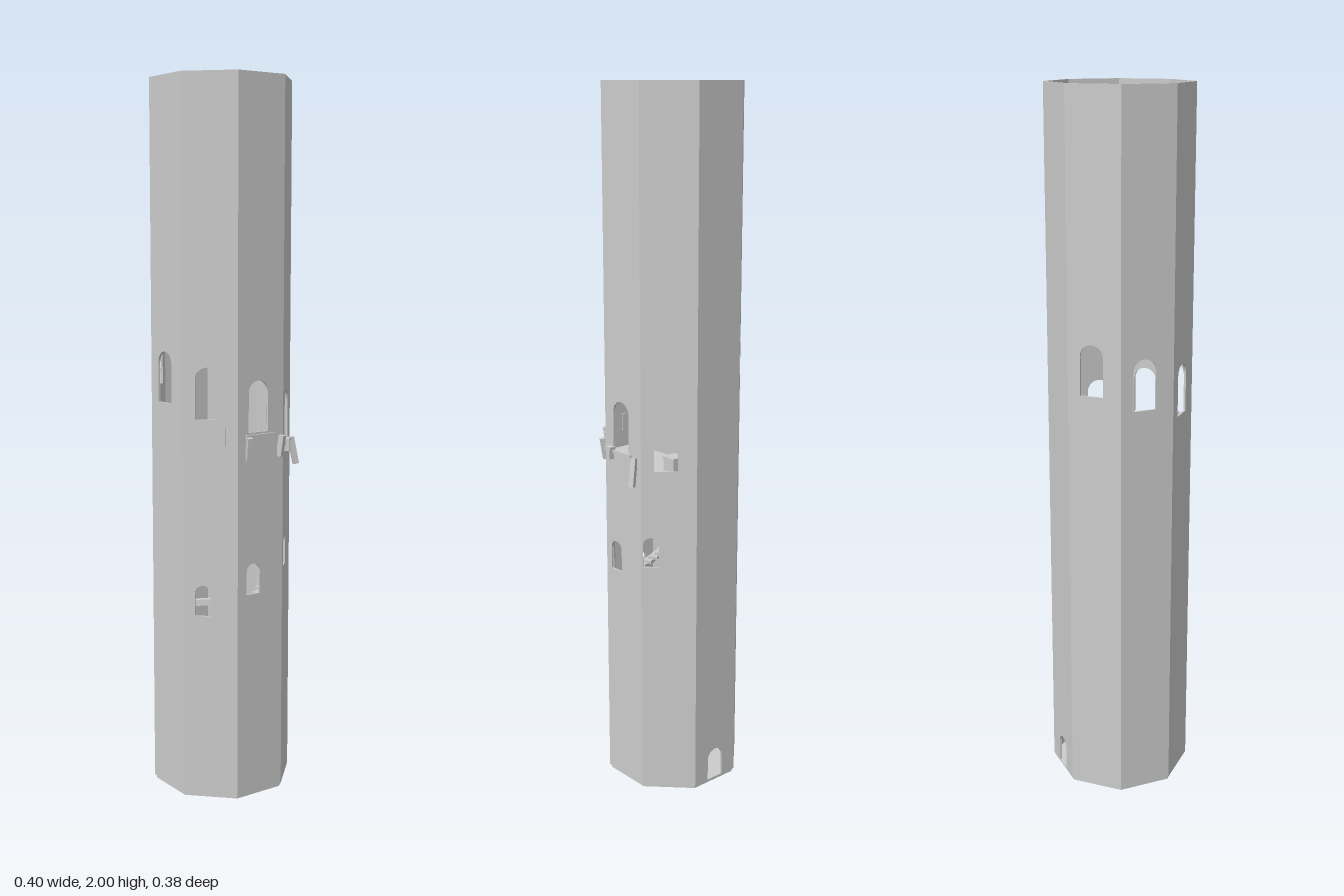
import * as THREE from 'three';

const mat = new THREE.MeshStandardMaterial({ color: 0xcccccc, flatShading: true });
const CX = -0.012, CZ = -0.003, R = 0.186, T = 0.006;
const HALF = R * Math.tan(Math.PI / 8);
const rad = THREE.MathUtils.degToRad;

function add(parent, name, geo, x = 0, y = 0, z = 0, rx = 0, ry = 0, rz = 0) {
  const m = new THREE.Mesh(geo, mat);
  m.name = name;
  m.position.set(x, y, z);
  m.rotation.set(rx, ry, rz, 'YXZ');
  parent.add(m);
  return m;
}
const box = (w, h, d) => new THREE.BoxGeometry(w, h, d);

// Round-headed opening: centre x, sill y, width, total height
function arch(x, y, w, h) {
  const p = new THREE.Path(), r = w / 2;
  p.moveTo(x - r, y);
  p.lineTo(x + r, y);
  p.lineTo(x + r, y + h - r);
  p.absarc(x, y + h - r, r, 0, Math.PI, false);
  p.lineTo(x - r, y);
  return p;
}

// Octagon prism with flats facing the axes
function octagon(name, parent, r, y0, h) {
  const g = new THREE.CylinderGeometry(r / Math.cos(Math.PI / 8), r / Math.cos(Math.PI / 8), h, 8);
  add(parent, name, g, 0, y0 + h / 2, 0, 0, Math.PI / 8);
}

export function createModel() {
  const root = new THREE.Group();
  root.name = 'tower';
  const tower = new THREE.Group();
  tower.name = 'shell';
  tower.position.set(CX, 0, CZ);
  root.add(tower);

  // Wall panels, upper windows climbing from face to face
  const lower = [[-0.05, 0.69], [-0.033, 0.65], [-0.024, 0.59], [-0.021, 0.53]];
  for (let i = 0; i < 8; i++) {
    const s = new THREE.Shape();
    s.moveTo(-HALF, 0.01);
    s.lineTo(HALF, 0.01);
    s.lineTo(HALF, 2);
    s.lineTo(-HALF, 2);
    s.closePath();
    if (i < 7) s.holes.push(arch(-0.008, 0.97 + 0.037 * i, 0.066, 0.142));
    else s.holes.push(arch(0, 0.012, 0.055, 0.092));
    if (i < 4) s.holes.push(arch(lower[i][0], lower[i][1], 0.045, 0.087));
    const g = new THREE.ExtrudeGeometry(s, { depth: T, bevelEnabled: false, curveSegments: 6 });
    g.translate(0, 0, R - T);
    add(tower, 'wallPanel', g, 0, 0, 0, 0, rad(135 - 45 * i));
  }
  octagon('base', tower, 0.181, 0, 0.012);

  // Half floor that survives on the left side
  const a = R - T, f = new THREE.Shape();
  f.moveTo(0, -a);
  f.lineTo(HALF, -a);
  f.lineTo(a, -HALF);
  f.lineTo(a, HALF);
  f.lineTo(HALF, a);
  f.lineTo(0, a);
  f.closePath();
  const floor = new THREE.ExtrudeGeometry(f, { depth: 0.015, bevelEnabled: false });
  add(tower, 'halfFloor', floor, 0, 0.96, 0, Math.PI / 2);

  // Winding stair below the floor, from the front round to the back
  const steps = 34;
  for (let i = 0; i < steps; i++) {
    const t = i / (steps - 1), ang = rad(10 + 200 * t);
    add(tower, 'stairTread', box(0.026, 0.008, 0.05),
      Math.sin(ang) * 0.148, 0.46 + 0.46 * t, Math.cos(ang) * 0.148, 0, ang);
  }

  // Broken balcony: thin ledges and hanging brackets
  add(root, 'ledge', box(0.006, 0.01, 0.11), 0.176, 1.002, 0.015);
  add(root, 'ledge', box(0.1, 0.01, 0.006), 0.121, 1.034, 0.134, 0, rad(45));
  const brackets = [
    [0.187, 0.965, -0.062, 0.08, 115, 0.2], [0.182, 0.995, 0.045, 0.03, 90, 0],
    [0.17, 1.0, 0.085, 0.06, 65, -0.15], [0.093, 1.0, 0.167, 0.065, 30, -0.15],
    [0.025, 1.035, 0.181, 0.05, 0, 0],
  ];
  for (const [x, y, z, h, deg, tilt] of brackets)
    add(root, 'bracket', box(0.014, h, 0.016), x, y, z, -tilt, rad(deg));
  add(root, 'bracketArm', box(0.02, 0.008, 0.024), 0.181, 1.012, 0.045);

  // Furnishings on the half floor
  add(root, 'chest', box(0.04, 0.035, 0.042), 0.08, 0.978, -0.11);
  add(root, 'chestLid', box(0.044, 0.008, 0.046), 0.08, 0.998, -0.11);
  add(root, 'wallCabinet', box(0.095, 0.22, 0.006), -0.013, 1.08, -0.181);

  // Fallen beams
  add(root, 'fallenBeam', box(0.185, 0.018, 0.02), -0.09, 0.5, -0.06, 0, rad(-10), 0.15);
  add(root, 'fallenBeam', box(0.2, 0.018, 0.02), -0.085, 0.38, -0.01, 0, rad(44), -0.2);
  add(root, 'fallenPlank', box(0.09, 0.01, 0.04), -0.085, 0.3, -0.115, 0, rad(-42), -0.3);

  // Ground-floor furniture and rubble
  for (let i = 0; i < 3; i++)
    add(root, 'bedSlab', box(0.055, 0.03, 0.024), -0.16, 0.027, -0.035 + i * 0.025);
  add(root, 'table', box(0.07, 0.008, 0.05), -0.115, 0.05, 0.095, 0, rad(-42));
  for (const sx of [-1, 1]) {
    add(root, 'tableLeg', box(0.008, 0.036, 0.04), -0.115 + sx * 0.02, 0.029, 0.095 + sx * 0.018, 0, rad(-42));
  }
  const crates = [[-0.155, 0.06, 0.035, 40], [-0.085, 0.05, 0.02, 30], [-0.05, 0.08, 0.035, 50],
    [-0.045, 0.15, 0.04, 0], [-0.03, 0.005, 0.03, 25], [-0.025, 0.04, 0.03, 60]];
  for (const [x, z, s, deg] of crates)
    add(root, 'crate', box(s, s, s), x, 0.012 + s / 2, z, 0, rad(deg));

  return root;
}
